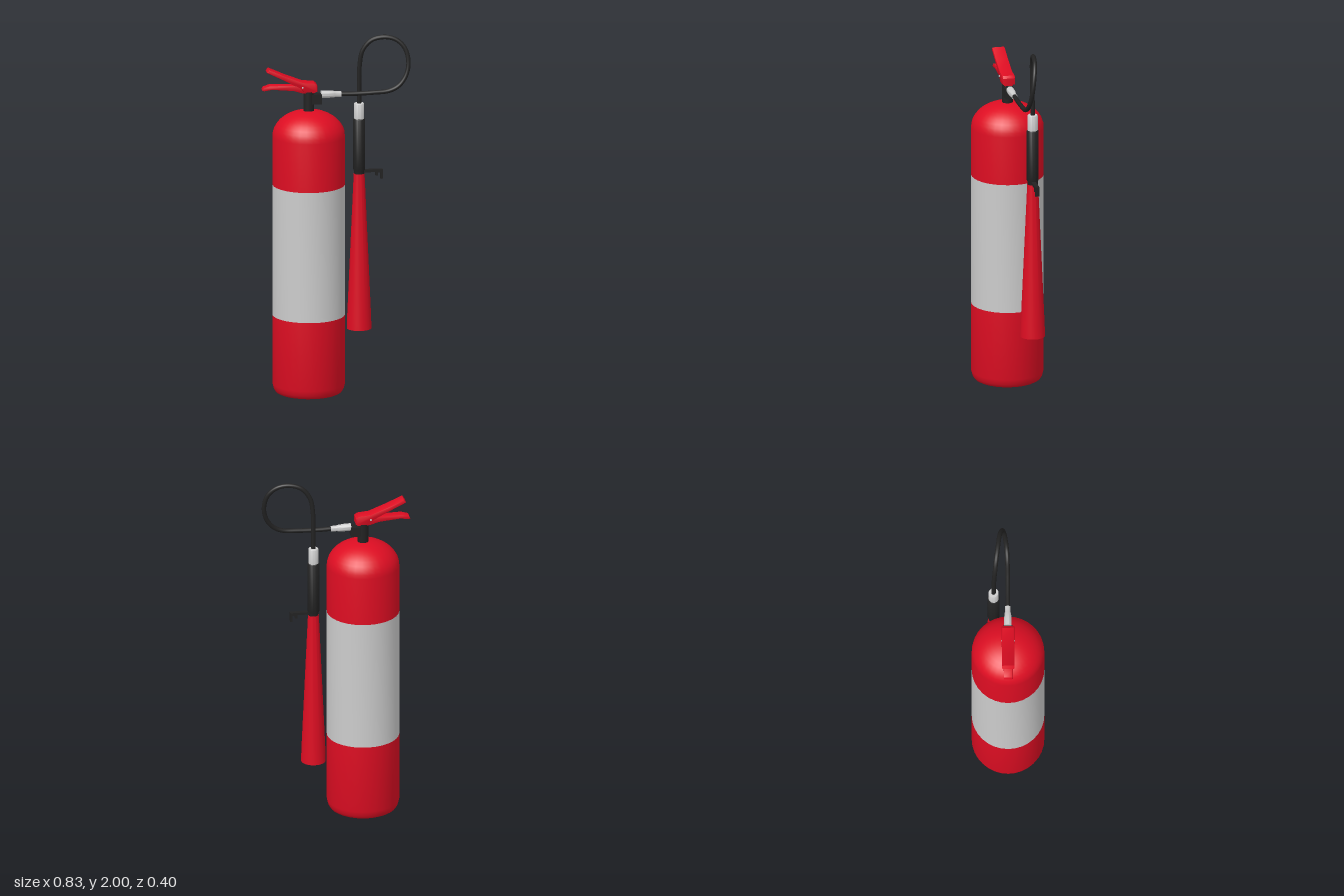
import * as THREE from 'three';
import { toCreasedNormals } from 'three/addons/utils/BufferGeometryUtils.js';

const mat = (color, side = THREE.FrontSide) => new THREE.MeshStandardMaterial({ color, side });
const red = mat(0xdd0d22), black = mat(0x222222), grey = mat(0xcccccc), silver = mat(0xd0d0d0);
const redOpen = mat(0xdd0d22, THREE.DoubleSide);

export function createModel() {
  const model = new THREE.Group();
  const add = (name, geometry, material, x = 0, y = 0, z = 0) => {
    const mesh = new THREE.Mesh(geometry, material);
    mesh.name = name;
    mesh.position.set(x, y, z);
    model.add(mesh);
    return mesh;
  };
  // Turned part from [radius, height] pairs
  const turned = (points, sides = 32) => toCreasedNormals(
    new THREE.LatheGeometry(points.map(p => new THREE.Vector2(...p)), sides), 0.7);
  // Side outline in x and y, extruded symmetrically across z
  const plate = (points, width, bevel = 0.004) => {
    const shape = new THREE.Shape(points.map(p => new THREE.Vector2(...p)));
    const g = new THREE.ExtrudeGeometry(shape, {
      depth: width - 2 * bevel, bevelEnabled: bevel > 0, bevelThickness: bevel,
      bevelSize: bevel, bevelOffset: -bevel, bevelSegments: 2 });
    g.translate(0, 0, bevel - width / 2);
    return toCreasedNormals(g, 0.6);
  };

  // Cylinder: red foot, pale band, red domed shoulder
  const cx = -0.155, R = 0.2;
  add('lowerBody', turned([[0, 0], [0.172, 0], [0.183, 0.006], [0.193, 0.022], [R, 0.05], [R, 0.44]]), red, cx);
  add('labelBand', turned([[R, 0.44], [R, 1.18]]), grey, cx);
  const dome = [[R, 1.18]];
  for (let i = 0; i <= 10; i++) {
    const a = i / 10 * Math.PI / 2;
    dome.push([i === 10 ? 0 : R * Math.cos(a), 1.455 + 0.145 * Math.sin(a)]);
  }
  add('upperBody', turned(dome), red, cx);

  // Valve and outlet
  add('valve', new THREE.CylinderGeometry(0.03, 0.03, 0.13, 24), black, cx, 1.65);
  add('valveOutlet', new THREE.BoxGeometry(0.06, 0.056, 0.05), black, -0.115, 1.664);
  const ferrule = turned([[0, 0], [0.021, 0], [0.021, 0.04], [0.018, 0.074], [0.016, 0.078], [0.016, 0.112], [0, 0.112]], 24);
  add('hoseFerrule', ferrule, silver, -0.087, 1.688).rotation.z = -Math.PI / 2 - 0.03;

  // Squeeze lever and carrying handle
  add('squeezeLever', plate([
    [-0.39, 1.826], [-0.378, 1.843], [-0.29, 1.803], [-0.19, 1.764], [-0.125, 1.758],
    [-0.111, 1.746], [-0.111, 1.71], [-0.18, 1.707], [-0.21, 1.735], [-0.3, 1.782]], 0.07), red);
  add('carryHandle', plate([
    [-0.415, 1.724], [-0.409, 1.738], [-0.37, 1.75], [-0.2, 1.745], [-0.12, 1.74],
    [-0.12, 1.7], [-0.19, 1.7], [-0.24, 1.716], [-0.36, 1.727], [-0.405, 1.72]], 0.05), red);
  add('pivotPin', new THREE.CylinderGeometry(0.005, 0.005, 0.078, 12), silver, -0.193, 1.737)
    .rotation.x = Math.PI / 2;

  // Looped hose
  const hx = 0.135, hz = -0.077;
  const path = new THREE.CatmullRomCurve3([
    [0.015, 1.686, 0], [0.1, 1.684, 0], [0.2, 1.687, 0.001], [0.29, 1.694, 0], [0.345, 1.72, -0.003],
    [0.385, 1.773, -0.01], [0.401, 1.845, -0.019], [0.383, 1.925, -0.031], [0.335, 1.973, -0.043],
    [0.27, 1.987, -0.052], [0.2, 1.968, -0.062], [0.153, 1.91, -0.069], [0.137, 1.82, -0.074],
    [hx, 1.72, -0.076], [hx, 1.6, hz]].map(p => new THREE.Vector3(...p)));
  add('hose', new THREE.TubeGeometry(path, 96, 0.0125, 12), black);

  // Horn assembly: collar, grip and open flared horn
  add('hornCollar', turned([[0, 0], [0.028, 0], [0.028, 0.088], [0.025, 0.092], [0, 0.092]]), silver, hx, 1.518, hz);
  add('grip', turned([[0, 1.2], [0.029, 1.2], [0.029, 1.225], [0.033, 1.235], [0.033, 1.518], [0.03, 1.522], [0, 1.522]]),
    black, hx, 0, hz);
  add('horn', turned([[0.068, 0.33], [0.066, 0.4], [0.03, 1.21], [0, 1.21]]), redOpen, hx, 0, hz);

  // Hooked bracket on the grip
  add('bracket', plate([
    [0.14, 1.217], [0.14, 1.231], [0.265, 1.231], [0.265, 1.178], [0.252, 1.178],
    [0.252, 1.215], [0.238, 1.215], [0.238, 1.197], [0.225, 1.197], [0.225, 1.217]], 0.024, 0), black, 0, 0, hz + 0.002);

  return model;
}
